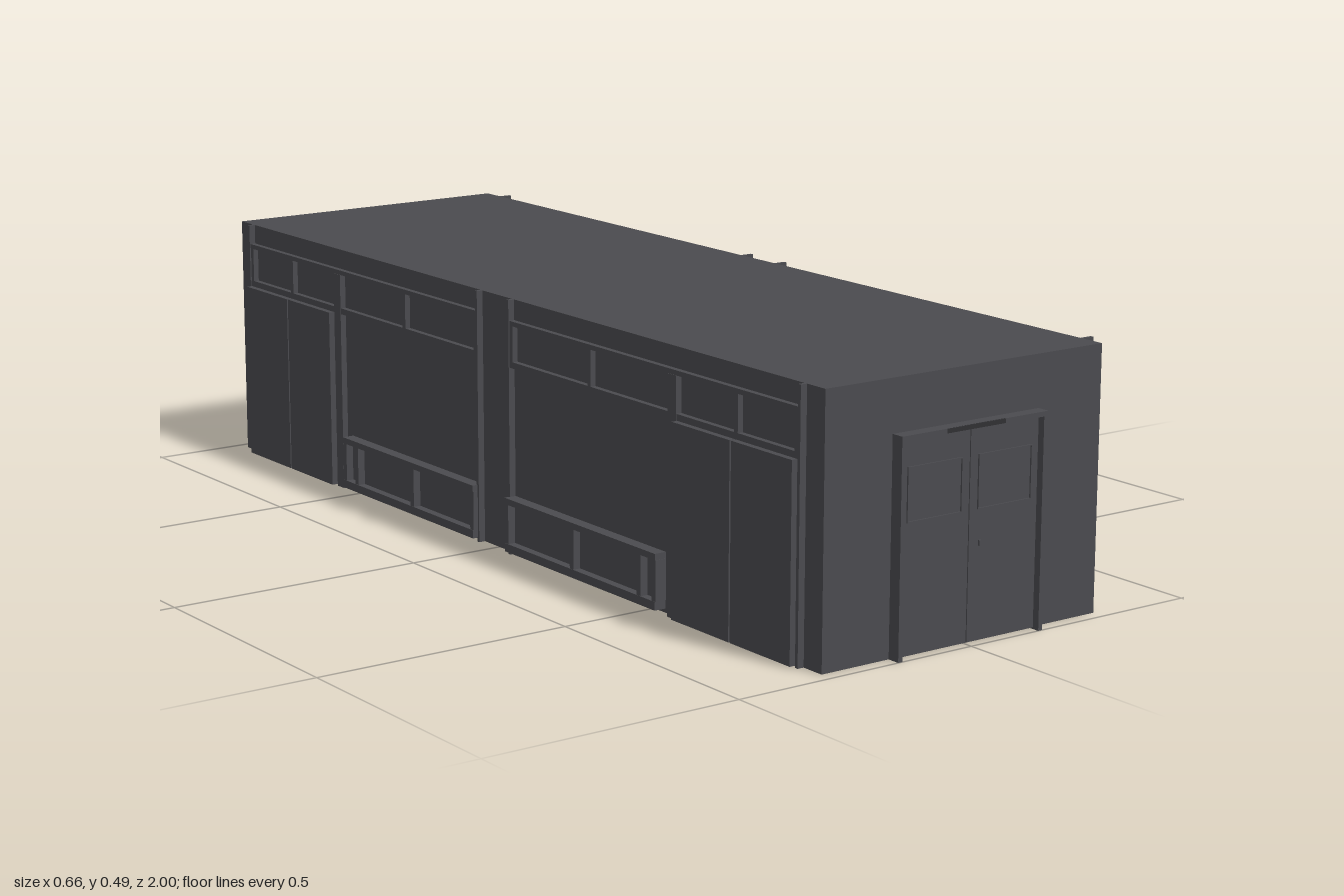
import * as THREE from 'three';

const wallMat = new THREE.MeshStandardMaterial({ color: 0x4b4b4f });
wallMat.name = 'charcoal';
const darkMat = new THREE.MeshStandardMaterial({ color: 0x303033 });
darkMat.name = 'dark trim';

const W = 0.308, H = 0.488, L = 0.975;

// Box given by its min and max along each axis
function box(parent, name, x0, x1, y0, y1, z0, z1, mat = wallMat) {
  const m = new THREE.Mesh(new THREE.BoxGeometry(Math.abs(x1 - x0), y1 - y0, Math.abs(z1 - z0)), mat);
  m.position.set((x0 + x1) / 2, (y0 + y1) / 2, (z0 + z1) / 2);
  m.name = name;
  parent.add(m);
  return m;
}

// Double door in a projecting frame, built on the front wall
function doorway() {
  const g = new THREE.Group();
  for (const s of [-1, 1]) {
    box(g, 'doorJamb', s * 0.154, s * 0.163, 0, 0.392, L - 0.01, 1);
    box(g, 'doorLeaf', s * 0.001, s * 0.154, 0.003, 0.383, L - 0.01, 0.986);
    const x0 = s * 0.018, x1 = s * 0.139, t = s * 0.002;
    box(g, 'doorWindowSide', x0, x0 + t, 0.237, 0.334, 0.986, 0.989);
    box(g, 'doorWindowSide', x1 - t, x1, 0.237, 0.334, 0.986, 0.989);
    box(g, 'doorWindowRail', x0, x1, 0.237, 0.239, 0.986, 0.989);
    box(g, 'doorWindowRail', x0, x1, 0.332, 0.334, 0.986, 0.989);
  }
  box(g, 'doorHead', -0.154, 0.154, 0.383, 0.392, L - 0.01, 1);
  box(g, 'headPlate', -0.065, 0.065, 0.384, 0.392, 0.998, 1.001, darkMat);
  box(g, 'doorHandle', 0.022, 0.027, 0.172, 0.182, 0.986, 0.99);
  return g;
}

// Window bay on the +x side, z from 0.05 to 0.925
function windowBay() {
  const g = new THREE.Group();
  box(g, 'sill', W - 0.01, 0.331, 0.18, 0.19, 0.055, 0.92);
  box(g, 'windowHead', W - 0.01, 0.322, 0.44, 0.449, 0.055, 0.92);
  box(g, 'transom', W - 0.01, 0.322, 0.36, 0.379, 0.055, 0.92);
  for (const [z, w] of [[0.062, 0.012], [0.265, 0.008], [0.487, 0.018], [0.71, 0.008], [0.913, 0.012]])
    box(g, 'mullion', W - 0.01, 0.322, 0.19, 0.44, z - w / 2, z + w / 2);
  return g;
}

// Bay on the -x side: glazed strip, large panel, low vent unit and double service door
function serviceBay() {
  const g = new THREE.Group();
  const X = -W + 0.01;
  box(g, 'windowHead', X, -0.319, 0.44, 0.449, 0.055, 0.92);
  box(g, 'transom', X, -0.319, 0.36, 0.372, 0.055, 0.92);
  for (const z of [0.062, 0.315, 0.75, 0.914])
    box(g, 'mullion', X, -0.319, 0.372, 0.44, z - 0.005, z + 0.005);
  box(g, 'post', X, -0.32, 0, 0.44, 0.555, 0.58);
  // Service door leaves
  for (const [a, b] of [[0.582, 0.748], [0.752, 0.918]])
    box(g, 'serviceDoor', X, -0.331, 0.003, 0.36, a, b);
  // Low vent unit: rails, dividers and recessed grilles
  box(g, 'ventBack', X, -0.316, 0.01, 0.105, 0.06, 0.53);
  box(g, 'ventTop', X, -0.332, 0.1, 0.112, 0.055, 0.535);
  box(g, 'ventBase', X, -0.332, 0.008, 0.024, 0.055, 0.535);
  for (const z of [0.06, 0.275, 0.485, 0.53])
    box(g, 'ventDivider', X, -0.331, 0.024, 0.1, z - 0.006, z + 0.006);
  return g;
}

export function createModel() {
  const model = new THREE.Group();
  model.name = 'building';
  box(model, 'body', -W, W, 0, H, -L, L);

  // Doorways at both ends
  const front = doorway();
  front.name = 'frontDoorway';
  const back = doorway();
  back.name = 'backDoorway';
  back.rotation.y = Math.PI;
  box(back, 'doorSign', -0.06, 0.06, 0.41, 0.435, L - 0.01, L + 0.004);
  model.add(front, back);

  // Side bays; the window side repeats, the service side mirrors about the middle
  for (const shift of [0, -0.975]) {
    const bay = windowBay();
    bay.name = 'windowBay';
    bay.position.z = shift;
    model.add(bay);
  }
  const near = serviceBay();
  near.name = 'frontServiceBay';
  const far = serviceBay();
  far.name = 'backServiceBay';
  far.scale.z = -1;
  model.add(near, far);

  // Full-height upright fins that edge every bay
  for (const s of [-1, 1])
    for (const z of [0.05, 0.92]) {
      box(model, 'leftFin', W - 0.01, 0.333, 0, H, s * z, s * (z + 0.007));
      box(model, 'rightFin', -W + 0.01, -0.321, 0, H, s * z, s * (z + 0.007));
    }
  return model;
}
